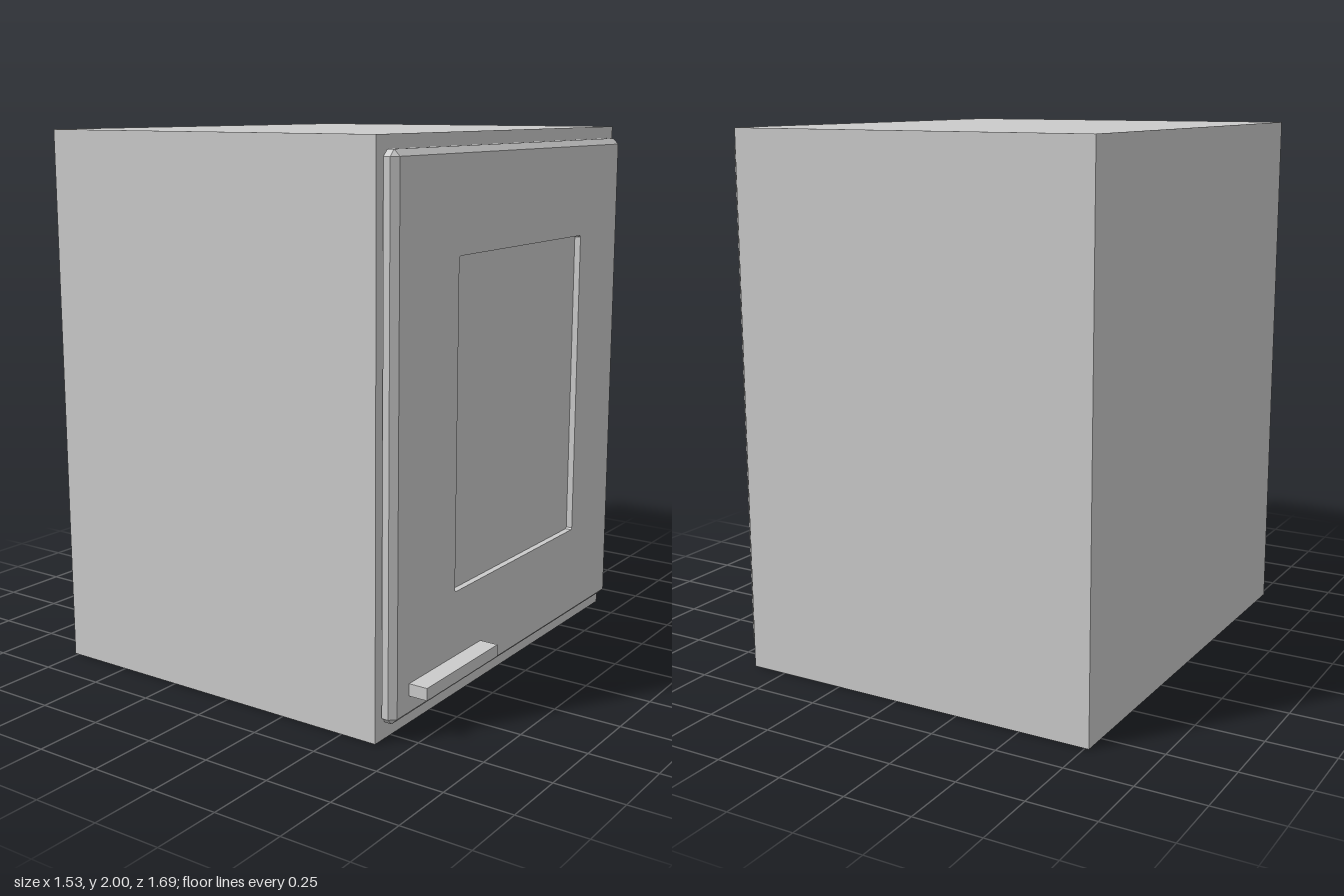
import * as THREE from 'three';

const material = new THREE.MeshStandardMaterial({ color: 0xcccccc, flatShading: true, side: THREE.DoubleSide });

// Rectangle in the yz plane at x, with corners cut by c: eight points, counter-clockwise from +x
function ring(x, y0, y1, z0, z1, c = 0) {
  return [
    [y1, z0 + c], [y1, z1 - c], [y1 - c, z1], [y0 + c, z1],
    [y0, z1 - c], [y0, z0 + c], [y0 + c, z0], [y1 - c, z0],
  ].map(([y, z]) => new THREE.Vector3(x, y, z));
}

// Flat-faced skin through a list of rings, leaving out collapsed triangles
function loft(rings) {
  const points = [];
  const addTriangle = (a, b, c) => {
    if (new THREE.Triangle(a, b, c).getArea() > 1e-8) points.push(a, b, c);
  };
  for (let i = 0; i < rings.length - 1; i++) {
    for (let j = 0; j < 8; j++) {
      const k = (j + 1) % 8;
      const [p, q] = [rings[i], rings[i + 1]];
      addTriangle(p[j], p[k], q[k]);
      addTriangle(p[j], q[k], q[j]);
    }
  }
  const geometry = new THREE.BufferGeometry().setFromPoints(points);
  geometry.computeVertexNormals();
  return geometry;
}

function box(name, x0, x1, y0, y1, z0, z1) {
  const mesh = new THREE.Mesh(new THREE.BoxGeometry(x1 - x0, y1 - y0, z1 - z0), material);
  mesh.position.set((x0 + x1) / 2, (y0 + y1) / 2, (z0 + z1) / 2);
  mesh.name = name;
  return mesh;
}

export function createModel() {
  const model = new THREE.Group();
  model.name = 'cabinet';

  // Cabinet body
  model.add(box('body', -0.765, 0.638, 0, 2, -0.843, 0.843));

  // Door slab with bevelled front edges and a recessed panel
  const [y0, y1, z0, z1, bevel] = [0.063, 1.955, -0.804, 0.817, 0.022];
  const panel = [0.424, 1.595, -0.47, 0.432];
  const door = new THREE.Mesh(loft([
    ring(0.647, 1, 1, 0, 0),
    ring(0.647, y0, y1, z0, z1, bevel),
    ring(0.672, y0, y1, z0, z1, bevel),
    ring(0.694, y0 + bevel, y1 - bevel, z0 + bevel, z1 - bevel),
    ring(0.694, ...panel, 0.006),
    ring(0.67, ...panel, 0.006),
    ring(0.67, 1, 1, 0, 0),
  ]), material);
  door.name = 'door';
  model.add(door);

  // Door handle
  model.add(box('handle', 0.694, 0.765, 0.143, 0.187, 0.248, 0.723));

  return model;
}
